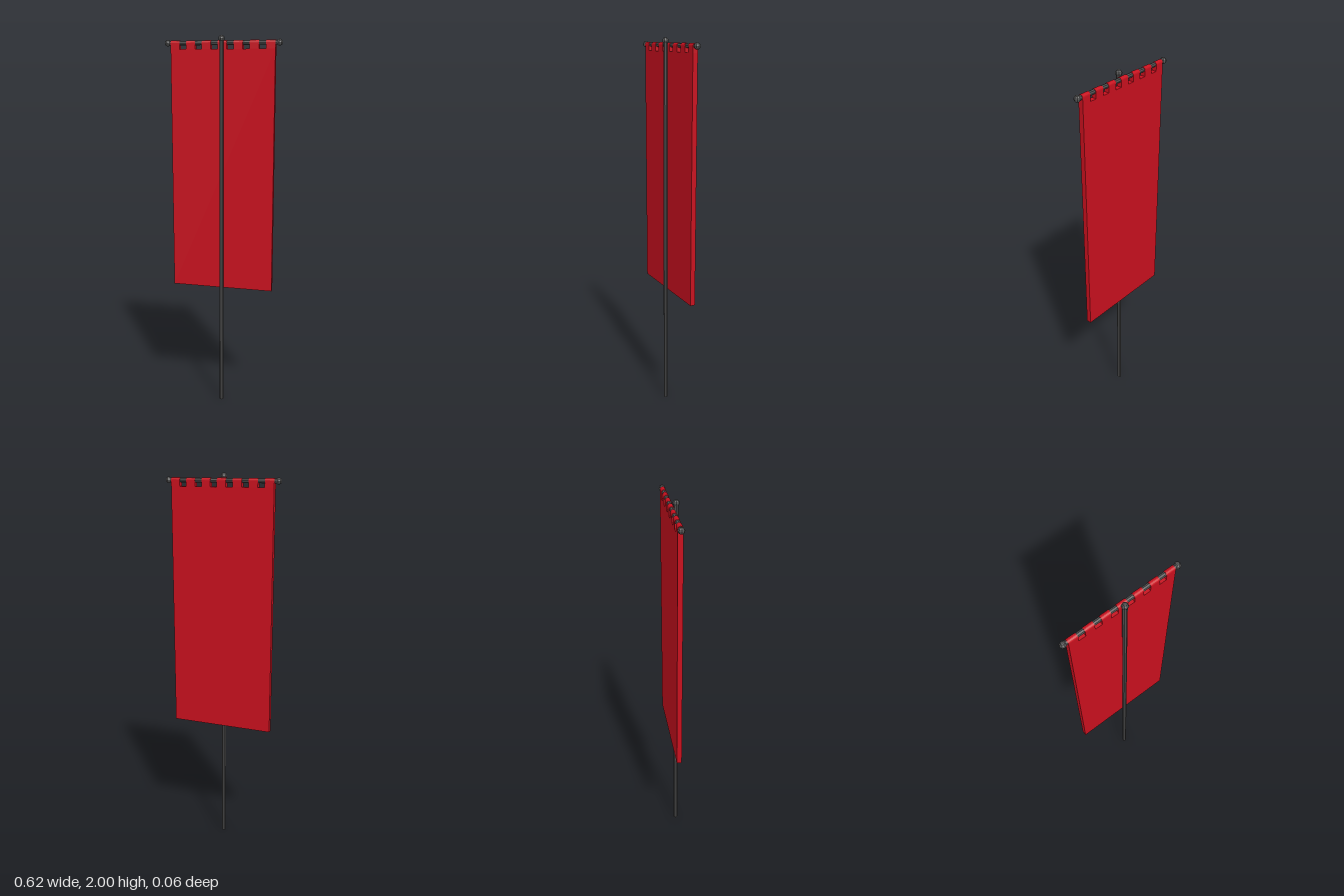
import * as THREE from 'three';

const metal = new THREE.MeshStandardMaterial({ color: 0x505050, flatShading: true });
const cloth = new THREE.MeshStandardMaterial({ color: 0xc8101e, flatShading: true });

const BAR_Y = 1.962, BAR_Z = -0.0125, POLE_Z = 0.0115;
const HALF_W = 0.275, BOTTOM = 0.662, CLOTH_TOP = 1.931, HALF_T = 0.013;
const TABS = 7, TAB_W = 0.048;

export function createModel() {
  const group = new THREE.Group();
  const add = (name, geometry, material, x, y, z) => {
    const mesh = new THREE.Mesh(geometry, material);
    mesh.name = name;
    mesh.position.set(x, y, z);
    group.add(mesh);
    return mesh;
  };

  // Upright pole with a ball on top
  const ball = new THREE.SphereGeometry(0.0168, 8, 6);
  add('pole', new THREE.CylinderGeometry(0.0115, 0.0115, 1.98, 8), metal, 0, 0.99, POLE_Z);
  add('poleFinial', ball, metal, 0, 1.9832, POLE_Z);

  // Crossbar with a ball at each end
  const bar = add('crossbar', new THREE.CylinderGeometry(0.0115, 0.0115, 0.58, 8), metal, 0, BAR_Y, BAR_Z);
  bar.rotation.z = Math.PI / 2;
  for (const side of [-1, 1]) {
    add(side > 0 ? 'leftFinial' : 'rightFinial', ball, metal, side * 0.294, BAR_Y, BAR_Z);
  }

  // Hanging cloth
  const height = CLOTH_TOP - BOTTOM;
  add('banner', new THREE.BoxGeometry(2 * HALF_W, height, 2 * HALF_T), cloth, 0, BOTTOM + height / 2, BAR_Z);

  // Tabs that loop over the crossbar
  const profile = new THREE.Shape();
  profile.moveTo(-HALF_T, CLOTH_TOP - BAR_Y);
  profile.lineTo(HALF_T, CLOTH_TOP - BAR_Y);
  profile.absarc(0, 0, HALF_T, 0, Math.PI, false);
  profile.closePath();
  const tab = new THREE.ExtrudeGeometry(profile, { depth: TAB_W, bevelEnabled: false, curveSegments: 6 });
  tab.translate(0, 0, -TAB_W / 2);
  tab.rotateY(Math.PI / 2);
  const span = 2 * HALF_W - TAB_W;
  for (let i = 0; i < TABS; i++) {
    add('tab', tab, cloth, -span / 2 + (i * span) / (TABS - 1), BAR_Y, BAR_Z);
  }

  return group;
}
